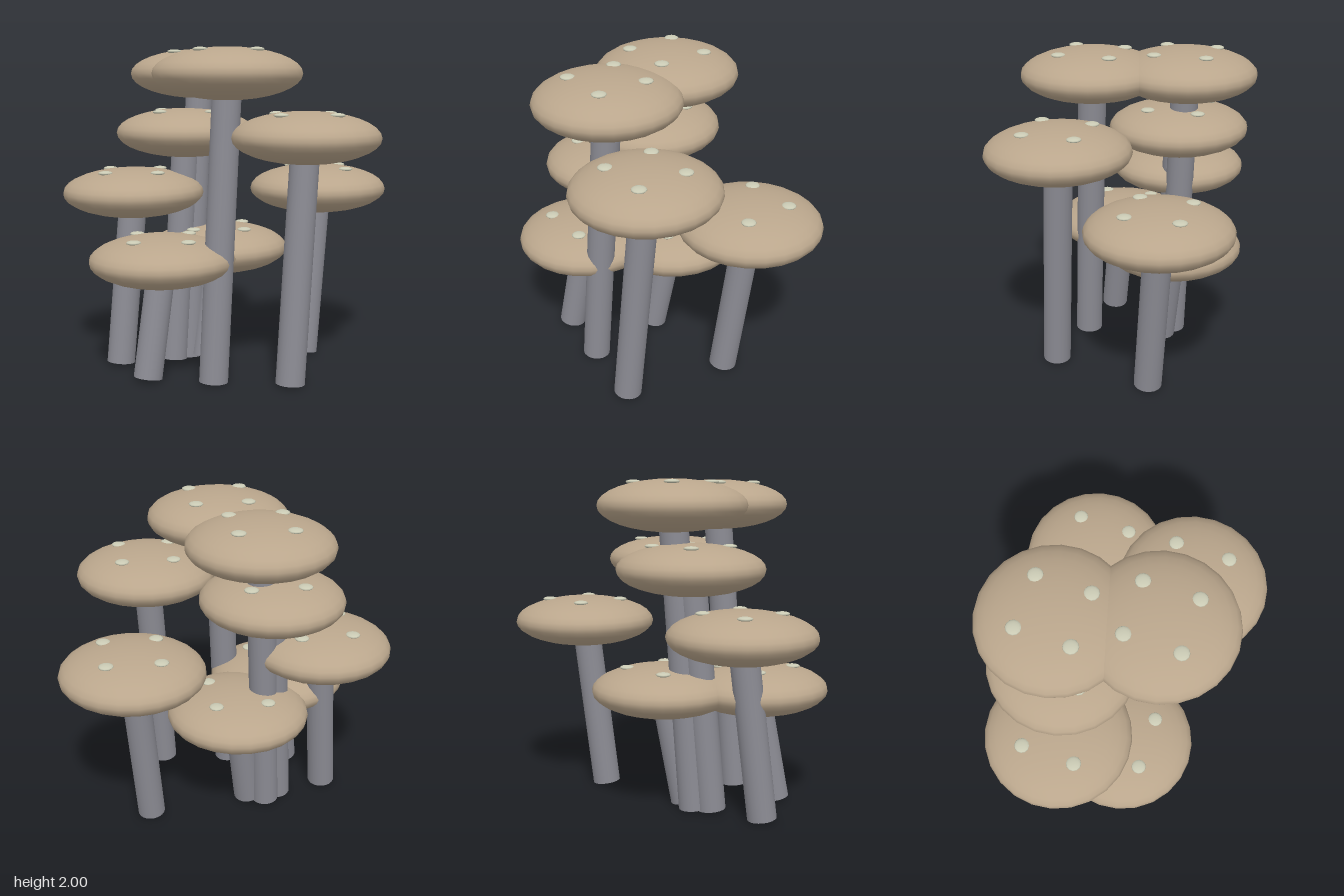
import * as THREE from 'three';

const material = (name, color) => {
  const m = new THREE.MeshStandardMaterial({ color });
  m.name = name;
  return m;
};

// Cap centres: x, y, z
const CAPS = [
  [-0.31, 1.842, 0.165], [-0.03, 1.842, -0.34],
  [-0.035, 1.47, 0.535], [-0.14, 1.47, -0.36],
  [0.545, 1.097, 0.175], [-0.435, 1.097, -0.54],
  [-0.545, 0.722, -0.16], [0.02, 0.722, -0.23],
];
const CAP_RADIUS = 0.444, CAP_HALF_HEIGHT = 0.156;
const STEM_RADIUS = 0.088, STEM_LEAN = 0.13;
const SPOT_OFFSET = 0.227;

export function createModel() {
  const model = new THREE.Group();
  model.name = 'mushroomCluster';

  const capMaterial = material('cap beige', 0xbaa68c);
  const stemMaterial = material('stem grey', 0x8c8c94);
  const spotMaterial = material('spot cream', 0xcacab4);

  const capGeometry = new THREE.SphereGeometry(CAP_RADIUS, 24, 16);
  capGeometry.scale(1, CAP_HALF_HEIGHT / CAP_RADIUS, 1);
  const spotGeometry = new THREE.SphereGeometry(0.045, 12, 8);
  spotGeometry.scale(1, 0.3, 1);

  const add = (parent, name, geometry, mat) => {
    const mesh = new THREE.Mesh(geometry, mat);
    mesh.name = name;
    parent.add(mesh);
    return mesh;
  };

  for (const [x, y, z] of CAPS) {
    const mushroom = new THREE.Group();
    mushroom.name = 'mushroom';
    mushroom.position.set(x, y, z);

    add(mushroom, 'cap', capGeometry, capMaterial);

    // Leaning stem from the ground to the middle of the cap
    const foot = new THREE.Vector3(-STEM_LEAN, STEM_RADIUS * STEM_LEAN / y - y, 0);
    const length = foot.length();
    const stem = add(mushroom, 'stem',
      new THREE.CylinderGeometry(STEM_RADIUS, STEM_RADIUS, length, 20), stemMaterial);
    stem.position.copy(foot).multiplyScalar(0.5);
    stem.rotation.z = -Math.atan2(STEM_LEAN, -foot.y);

    // Four shallow spots on top
    for (let i = 0; i < 4; i++) {
      const a = i * Math.PI / 2;
      const spot = add(mushroom, 'spot', spotGeometry, spotMaterial);
      spot.position.set(SPOT_OFFSET * Math.cos(a), 0.136, SPOT_OFFSET * Math.sin(a));
    }
    model.add(mushroom);
  }
  return model;
}
